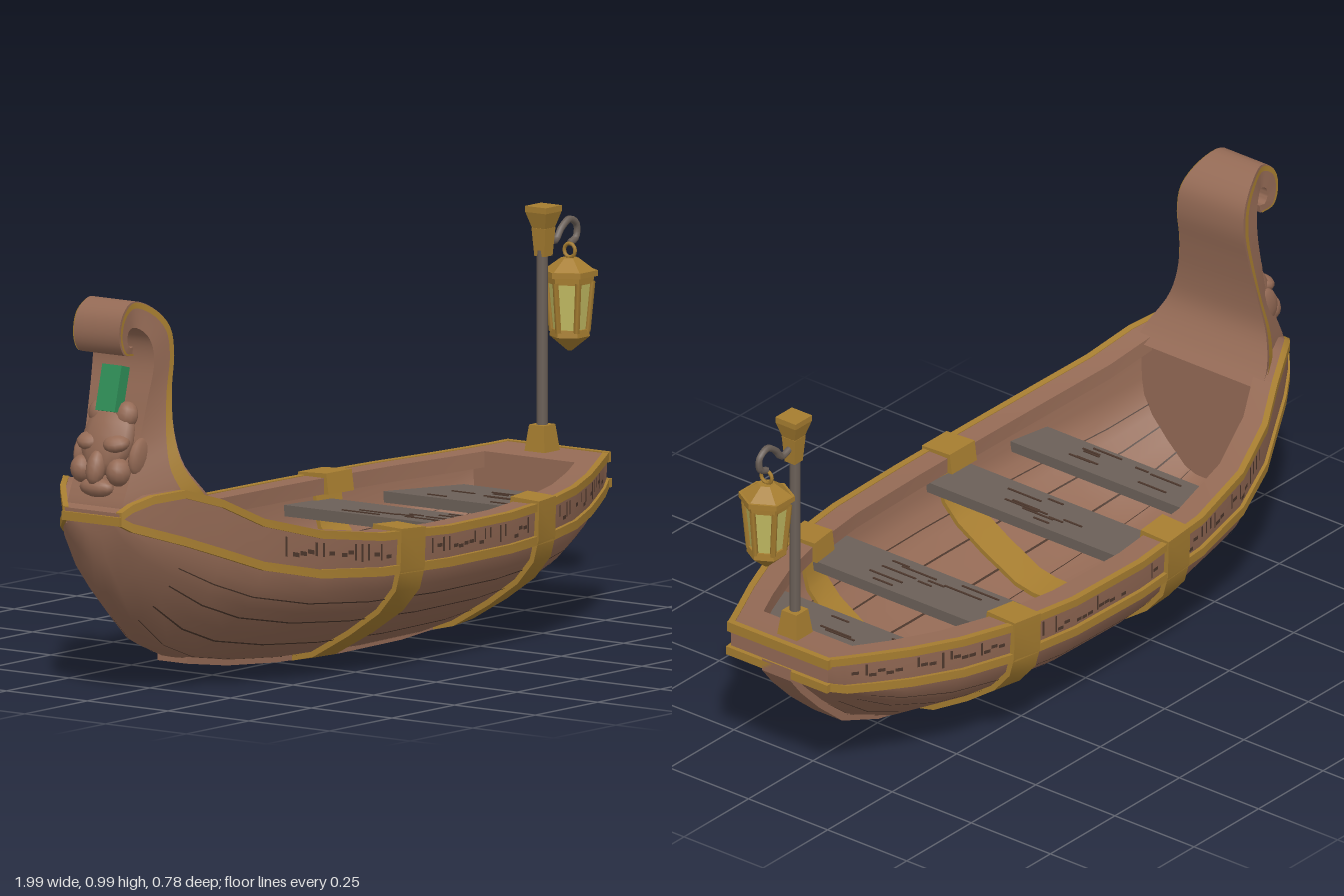
import * as THREE from 'three';
import { toCreasedNormals, mergeGeometries } from 'three/addons/utils/BufferGeometryUtils.js';

const mat = (name, color) => Object.assign(new THREE.MeshStandardMaterial({ color, side: THREE.DoubleSide }), { name });

// Hull stations: x, half width, keel height, lower trim height, rim height
const STATIONS = [
  [-0.98, 0.085, 0.41, 0.45, 0.47], [-0.96, 0.105, 0.34, 0.435, 0.49], [-0.92, 0.14, 0.26, 0.42, 0.51],
  [-0.85, 0.185, 0.18, 0.395, 0.52], [-0.76, 0.23, 0.105, 0.36, 0.49], [-0.66, 0.28, 0.065, 0.32, 0.435],
  [-0.5, 0.335, 0.04, 0.285, 0.39], [-0.3, 0.37, 0.022, 0.268, 0.362], [-0.05, 0.385, 0.012, 0.262, 0.35],
  [0.2, 0.38, 0.014, 0.262, 0.35], [0.4, 0.352, 0.03, 0.265, 0.355], [0.55, 0.31, 0.06, 0.27, 0.362],
  [0.68, 0.255, 0.115, 0.28, 0.37], [0.77, 0.21, 0.19, 0.29, 0.378], [0.84, 0.175, 0.26, 0.3, 0.385],
  [0.88, 0.155, 0.31, 0.315, 0.39]];
// Bowl of the cross-section: share of half width, share of height up to the trim
const BOWL = [[0, 0], [0.12, 0.005], [0.28, 0.06], [0.58, 0.32], [0.82, 0.57], [0.95, 0.8], [0.985, 1]];
const XS = STATIONS.map(s => s[0]);
const OPEN = XS.filter(x => x >= -0.76 && x <= 0.77);
const RIM = 0.07;

function at(x) {
  let i = 0;
  while (i < STATIONS.length - 2 && x > STATIONS[i + 1][0]) i++;
  const a = STATIONS[i], b = STATIONS[i + 1], t = (x - a[0]) / (b[0] - a[0]);
  const [, w, k, trim, s] = a.map((v, j) => v + (b[j] - v) * t);
  return { w, k, trim, s };
}

// Surface through rows of points, with optional end caps
function loft(rows, closed = false, caps = false) {
  const n = rows[0].length, idx = [];
  for (let i = 0; i < rows.length - 1; i++)
    for (let j = 0; j < (closed ? n : n - 1); j++) {
      const a = i * n + j, b = i * n + (j + 1) % n;
      idx.push(a, b, a + n, b, b + n, a + n);
    }
  if (caps) for (let j = 1; j < n - 1; j++) {
    const e = (rows.length - 1) * n;
    idx.push(0, j + 1, j, e, e + j, e + j + 1);
  }
  const g = new THREE.BufferGeometry();
  g.setAttribute('position', new THREE.Float32BufferAttribute(rows.flat(2), 3));
  g.setIndex(idx);
  return toCreasedNormals(g, 0.6);
}

// Cross-sections run from the right rim under the keel to the left rim
const mirror = (x, half) => [...half.slice(1).reverse().map(([z, y]) => [x, y, -z]), ...half.map(([z, y]) => [x, y, z])];
function outer(x, wrap = false) {
  const { w, k, trim, s } = at(x);
  const half = BOWL.map(([a, b]) => [a * w, k + b * (trim - k)]);
  half.push([w, s]);
  if (wrap) half.push([w - RIM, s], [w - RIM, s - 0.04]);
  return mirror(x, half);
}
function inner(x) {
  const { w, k, trim, s } = at(x), f = k + 0.045;
  const half = BOWL.map(([a, b]) => [a * (w - 0.035), f + b * (trim - f)]);
  half.push([w - 0.035, s - 0.04], [w - RIM, s - 0.04], [w - RIM, s]);
  return mirror(x, half);
}
const offset = (pts, d) => pts.map((p, i) => {
  const a = pts[Math.max(i - 1, 0)], b = pts[Math.min(i + 1, pts.length - 1)];
  const ty = b[1] - a[1], tz = b[2] - a[2], l = Math.hypot(ty, tz) || 1;
  return [p[0], p[1] - tz / l * d, p[2] + ty / l * d];
});
const pick = (pts, u) => {
  const i = Math.min(Math.floor(u), pts.length - 2);
  return pts[i].map((v, j) => v + (pts[i + 1][j] - v) * (u - i));
};

export function createModel() {
  const wood = mat('wood', 0x946a55), gold = mat('gold', 0xa67d30), grey = mat('weatheredWood', 0x6b6058);
  const dark = mat('darkCarving', 0x4c372c), glass = mat('lampGlass', 0xc2bb62), green = mat('greenGem', 0x2f8f58);
  const model = new THREE.Group();
  const add = (name, geo, m, x = 0, y = 0, z = 0, parent = model) => {
    const mesh = new THREE.Mesh(geo, m);
    mesh.name = name;
    mesh.position.set(x, y, z);
    parent.add(mesh);
    return mesh;
  };

  // Hull shell, inside, rim and end decks
  add('hull', loft(XS.map(x => outer(x)), false, true), wood);
  add('hullInside', loft(OPEN.map(inner), false, true), wood);
  for (const d of [1, -1])
    add('rim', loft(OPEN.map(x => { const { w, s } = at(x); return [[x, s, d * w], [x, s, d * (w - RIM)]]; })), wood);
  for (const [name, part] of [['bowDeck', XS.slice(0, 5)], ['sternDeck', XS.slice(-3)]])
    add(name, loft(part.map(x => { const { w, s } = at(x); return [[x, s, -w], [x, s, w]]; })), wood);

  // Keel and stern post
  add('keel', loft(XS.filter(x => x > -0.7).map(x => {
    const { k } = at(x), px = x > 0.6 ? x + 0.012 : x;
    return [[px, k + 0.02, -0.045], [px, k - 0.012, -0.045], [px, k - 0.012, 0.045], [px, k + 0.02, 0.045]];
  }), true, true), wood);

  // Plank seams outside and inside
  const seam = (sec, xs, u, d) => loft(xs.map(x => { const p = offset(sec(x), d); return [pick(p, u - 0.025), pick(p, u + 0.025)]; }));
  const mids = XS.slice(3, -2), seams = [];
  for (const u of [2.5, 3.4, 4.4, 5.4]) seams.push(seam(outer, mids, u, 0.003), seam(outer, mids, 14 - u, 0.003));
  for (const u of [4.5, 5.5, 6.5, 7.5]) seams.push(seam(inner, OPEN, u, -0.003), seam(inner, OPEN, 18 - u, -0.003));
  add('plankSeams', mergeGeometries(seams), dark);

  // Gold trims along both sides and across the ends
  for (const d of [1, -1]) for (const [name, top] of [['lowerTrim', false], ['upperTrim', true]])
    add(name, loft(XS.map(x => {
      const { w, trim, s } = at(x), y0 = top ? s - 0.018 : trim - 0.012, y1 = top ? s + 0.002 : trim + 0.01;
      return [[x, y0, d * (w - 0.012)], [x, y0, d * (w + 0.006)], [x, y1, d * (w + 0.006)], [x, y1, d * (w - 0.012)]];
    }), true, true), gold);
  add('sternTrim', new THREE.BoxGeometry(0.016, 0.026, 0.32), gold, 0.88, 0.379);
  add('sternTrim', new THREE.BoxGeometry(0.016, 0.022, 0.32), gold, 0.884, 0.314);
  add('bowTrim', new THREE.BoxGeometry(0.014, 0.022, 0.18), gold, -0.98, 0.45);

  // Carved abstract strokes between the trims
  let seed = 7;
  const rnd = () => (seed = (seed * 16807) % 2147483647) / 2147483647;
  const strokes = [];
  for (const d of [1, -1]) for (let x = -0.62; x < 0.82; x += 0.021) {
    if (Math.abs(x + 0.195) < 0.06 || Math.abs(x - 0.37) < 0.06 || rnd() < 0.2) continue;
    const tall = rnd() < 0.5, f0 = 0.22 + rnd() * 0.25, f1 = tall ? 0.72 : f0 + 0.1, len = tall ? 0.006 : 0.018;
    strokes.push(loft([x, x + len].map(px => {
      const { w, trim, s } = at(px);
      return [f0, f1].map(f => [px, trim + f * (s - trim), d * (w + 0.002)]);
    })));
  }
  add('carvedStrokes', mergeGeometries(strokes), dark);

  // Gold bands around the hull, with ribs inside
  for (const [x0, x1] of [[-0.24, -0.15], [0.325, 0.41]]) {
    const o0 = outer(x0, true), o1 = outer(x1, true), i0 = inner(x0), i1 = inner(x1);
    add('hullBand', loft([o0, offset(o0, 0.014), offset(o1, 0.014), o1]), gold);
    add('innerRib', loft([i0, offset(i0, -0.012), offset(i1, -0.012), i1].map(r => r.slice(2, -2))), gold);
  }

  // Plank seats with cracks
  for (const [x0, x1] of [[-0.515, -0.4], [-0.25, -0.11], [0.225, 0.375], [0.54, 0.745]]) {
    const y = 0.295;
    add('seat', loft([x0, x1].map(x => {
      const h = at(x).w - 0.038;
      return [[x, y - 0.028, -h], [x, y, -h], [x, y, h], [x, y - 0.028, h]];
    }), true, true), grey);
    for (let i = 0; i < 9; i++)
      add('seatCrack', new THREE.BoxGeometry(0.005, 0.003, 0.04 + rnd() * 0.08), dark,
        x0 + 0.015 + rnd() * (x1 - x0 - 0.03), y + 0.001, (rnd() - 0.5) * 0.28);
  }

  // Curled prow: back edge and front edge as x, y, half width
  const curve = pts => new THREE.CatmullRomCurve3(pts.map(p => new THREE.Vector3(...p))).getPoints(44);
  const back = curve([[-0.74, 0.47, 0.2], [-0.775, 0.51, 0.19], [-0.815, 0.58, 0.155], [-0.818, 0.66, 0.128], [-0.805, 0.76, 0.11],
    [-0.79, 0.85, 0.105], [-0.8, 0.915, 0.1], [-0.845, 0.963, 0.085], [-0.905, 0.985, 0.068], [-0.95, 0.955, 0.07],
    [-0.963, 0.9, 0.07], [-0.945, 0.858, 0.07], [-0.905, 0.85, 0.065]]);
  const front = curve([[-0.975, 0.43, 0.085], [-0.97, 0.48, 0.085], [-0.945, 0.54, 0.085], [-0.905, 0.63, 0.085], [-0.875, 0.74, 0.09],
    [-0.855, 0.83, 0.095], [-0.86, 0.88, 0.09], [-0.878, 0.908, 0.08], [-0.902, 0.92, 0.068], [-0.922, 0.912, 0.068],
    [-0.927, 0.888, 0.068], [-0.917, 0.872, 0.068], [-0.9, 0.872, 0.065]]);
  add('prow', loft(back.map((b, i) => {
    const f = front[i];
    return [[b.x, b.y, b.z], [f.x, f.y, f.z], [f.x, f.y, -f.z], [b.x, b.y, -b.z]];
  }), true, true), wood);
  for (const d of [1, -1])
    add('prowTrim', loft(back.slice(2).map((b, i) => [0.04, 0.26].map(t => {
      const p = b.clone().lerp(front[i + 2], t);
      return [p.x, p.y, d * (p.z + 0.004)];
    }))), gold);

  // Carved figurehead and gem on the front of the prow
  const blob = (x, y, z, a, b, c, tilt = 0) => {
    const m = add('figureheadCarving', new THREE.SphereGeometry(1, 12, 8), wood, x, y, z);
    m.scale.set(a, b, c);
    m.rotation.z = tilt;
  };
  blob(-0.915, 0.64, 0, 0.04, 0.095, 0.075, -0.4);
  blob(-0.965, 0.575, 0, 0.025, 0.045, 0.025, -0.3);
  blob(-0.962, 0.525, 0, 0.026, 0.024, 0.05);
  for (const d of [1, -1]) {
    blob(-0.935, 0.635, d * 0.04, 0.034, 0.022, 0.036, 0.3);
    blob(-0.945, 0.565, d * 0.055, 0.034, 0.035, 0.032);
    blob(-0.895, 0.7, d * 0.04, 0.026, 0.034, 0.032, -0.3);
    blob(-0.9, 0.6, d * 0.085, 0.04, 0.05, 0.016, -0.4);
  }
  add('prowGem', new THREE.BoxGeometry(0.034, 0.115, 0.06), green, -0.899, 0.762).rotation.z = -0.25;

  // Lamp post at the stern
  const sq = (rt, rb, h) => new THREE.CylinderGeometry(rt * Math.SQRT2, rb * Math.SQRT2, h, 4).rotateY(Math.PI / 4).toNonIndexed();
  const flat = g => { g.computeVertexNormals(); return g; };
  add('postBase', flat(sq(0.023, 0.031, 0.065)), gold, 0.82, 0.42);
  add('post', new THREE.CylinderGeometry(0.014, 0.014, 0.45, 8), grey, 0.82, 0.66);
  add('postCollar', flat(sq(0.021, 0.016, 0.07)), gold, 0.825, 0.905);
  add('postCap', flat(sq(0.032, 0.02, 0.04)), gold, 0.825, 0.96);
  add('postTop', flat(sq(0.032, 0.032, 0.015)), gold, 0.825, 0.987);
  const hook = new THREE.CatmullRomCurve3([[0.84, 0.91], [0.872, 0.902], [0.897, 0.93], [0.93, 0.948], [0.958, 0.93],
    [0.955, 0.9], [0.93, 0.888]].map(([x, y]) => new THREE.Vector3(x, y, 0)));
  add('lampHook', new THREE.TubeGeometry(hook, 24, 0.009, 6), grey);

  // Six-sided lantern
  const lantern = new THREE.Group();
  lantern.name = 'lantern';
  lantern.position.set(0.93, 0, 0);
  model.add(lantern);
  const hex = (name, rt, rb, y0, y1, m) => add(name,
    flat(new THREE.CylinderGeometry(rt, rb, y1 - y0, 6).rotateY(Math.PI / 2).toNonIndexed()), m, 0, (y0 + y1) / 2, 0, lantern);
  add('lanternRing', new THREE.TorusGeometry(0.017, 0.005, 6, 12), gold, 0, 0.87, 0, lantern).rotation.y = Math.PI / 2;
  hex('lanternRoof', 0.022, 0.066, 0.82, 0.852, gold);
  hex('lanternEave', 0.07, 0.07, 0.808, 0.822, gold);
  hex('lanternTopFrame', 0.06, 0.059, 0.79, 0.808, gold);
  hex('lanternGlass', 0.054, 0.042, 0.672, 0.79, glass);
  hex('lanternBottomFrame', 0.048, 0.05, 0.658, 0.676, gold);
  hex('lanternPoint', 0.05, 0.006, 0.622, 0.658, gold);
  for (let i = 0; i < 6; i++) {
    const a = i * Math.PI / 3, p = (r, y) => new THREE.Vector3(Math.cos(a) * r, y, Math.sin(a) * r);
    add('lanternCorner', new THREE.TubeGeometry(new THREE.LineCurve3(p(0.044, 0.67), p(0.056, 0.795)), 1, 0.008, 5), gold, 0, 0, 0, lantern);
  }
  return model;
}
